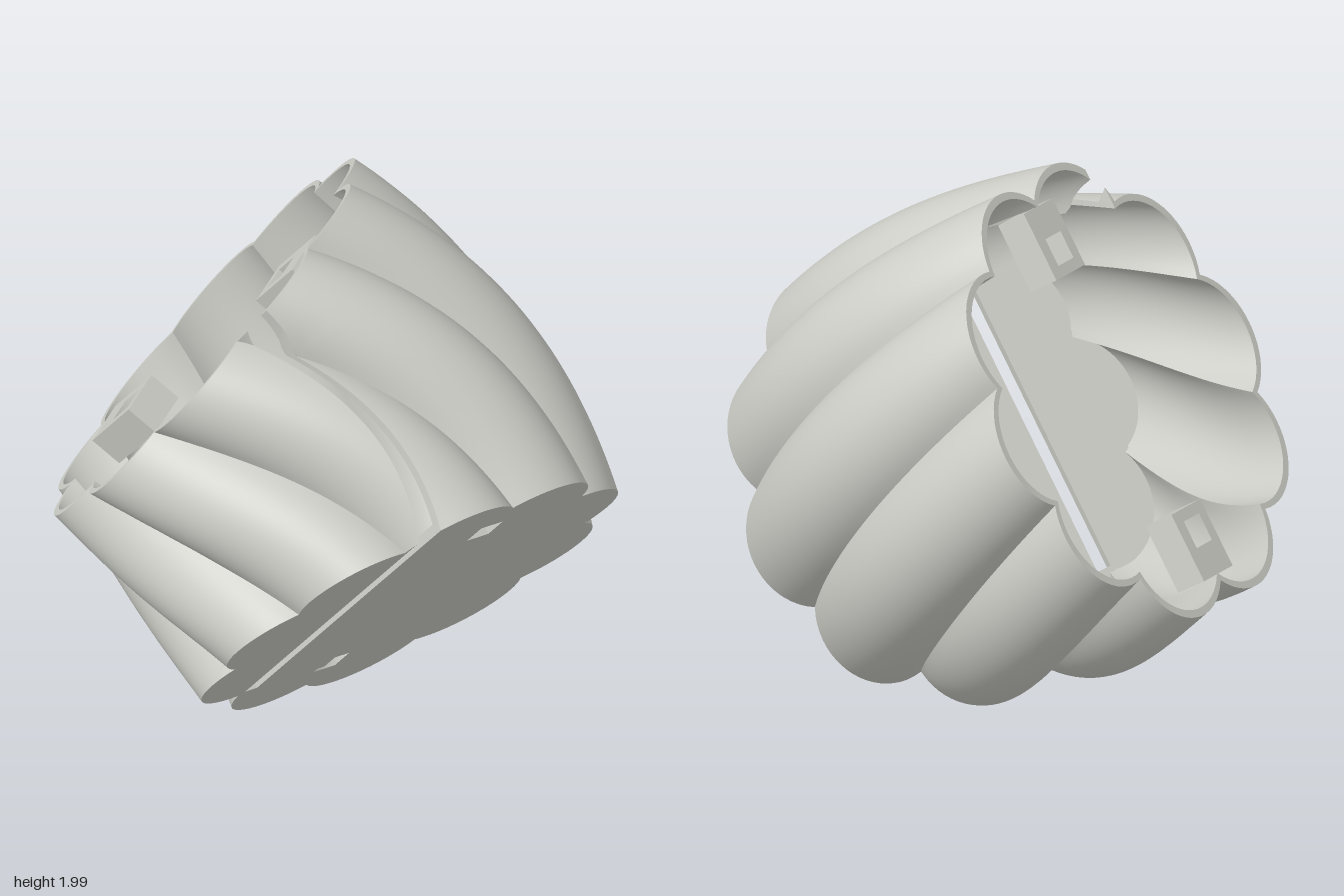
import * as THREE from 'three';
import { toCreasedNormals } from 'three/addons/utils/BufferGeometryUtils.js';

const LOBES = 10, STEP = (Math.PI * 2) / LOBES;
const BEND = 2.15, HALF = Math.PI / 12;        // bend radius and half the swept angle
const WALL = 0.027, PLATE = 0.035;
const SLIT_R = -0.322, SLIT_L = -0.375;        // edges of the lengthwise slit
const SAMPLES = 20, ROWS = 36;                 // samples per lobe, rows along the sweep

const X = new THREE.Vector3(1, 0, 0);
const V = new THREE.Vector3(0, 0.786, 0.618);  // bend axis
const T = new THREE.Vector3(0, 0.618, -0.786); // sweep direction at mid length
const ORIGIN = new THREE.Vector3(-BEND, 1, 0);

// Section radius: a ring of circular lobes meeting in sharp grooves
function radius(phi, twist) {
  const d = phi - twist - Math.round((phi - twist) / STEP) * STEP;
  const c = 0.559, r = 0.241, s = c * Math.sin(d);
  return c * Math.cos(d) + Math.sqrt(r * r - s * s);
}

// Section outline at fraction f of the length, clockwise from the right slit
// edge to the left one; the body swells toward mid length
function section(f, inset) {
  const w = Math.sin(Math.PI * f), twist = STEP * f;
  const su = 0.96 + 0.055 * w, sv = 1.02 + 0.06 * w, shift = 0.005 + 0.02 * w;
  const point = (phi) => {
    const r = radius(phi, twist) - inset;
    return new THREE.Vector2(r * Math.cos(phi) * su + shift, r * Math.sin(phi) * sv);
  };
  // angle at which the upper wall reaches a slit edge
  const angleAt = (u) => {
    let lo = Math.PI / 2, hi = Math.PI * 0.9;
    for (let k = 0; k < 40; k++) {
      const mid = (lo + hi) / 2;
      if (point(mid).x > u) lo = mid; else hi = mid;
    }
    return lo;
  };
  const a = angleAt(SLIT_R), b = angleAt(SLIT_L) - Math.PI * 2;
  // stops at each groove, held inside the slit edges
  const stops = [a];
  for (let k = 0; k <= LOBES; k++) {
    stops.push(THREE.MathUtils.clamp(Math.PI / 2 + twist - k * STEP, b, a));
  }
  stops.push(b);
  const pts = [point(a)];
  for (let k = 1; k < stops.length; k++) {
    for (let s = 1; s <= SAMPLES; s++) {
      pts.push(point(THREE.MathUtils.lerp(stops[k - 1], stops[k], s / SAMPLES)));
    }
  }
  return pts;
}

// Bent sweep: section point and sweep angle to model space
function bent(p, theta) {
  return ORIGIN.clone()
    .addScaledVector(X, (BEND + p.x) * Math.cos(theta))
    .addScaledVector(T, (BEND + p.x) * Math.sin(theta))
    .addScaledVector(V, p.y);
}

function shellGeometry() {
  const pos = [], tris = [];
  for (let i = 0; i <= ROWS; i++) {
    const f = i / ROWS, theta = HALF * (2 * f - 1);
    const loop = [...section(f, 0), ...section(f, WALL).reverse()];
    pos.push(loop.map((p) => bent(p, theta)));
  }
  // skip the empty faces where a groove meets the slit
  const tri = (a, b, c) => {
    const area = b.clone().sub(a).cross(c.clone().sub(a)).length();
    if (area > 1e-8) tris.push(...a.toArray(), ...b.toArray(), ...c.toArray());
  };
  const quad = (a, b, c, d) => { tri(a, b, c); tri(a, c, d); };
  const M = pos[0].length;
  for (let i = 0; i < ROWS; i++) {
    for (let j = 0; j < M; j++) {
      const k = (j + 1) % M;
      quad(pos[i][j], pos[i][k], pos[i + 1][k], pos[i + 1][j]);
    }
  }
  // end rings
  const base = pos[0], rim = pos[ROWS];
  for (let j = 0; j < M / 2 - 1; j++) {
    quad(rim[j], rim[j + 1], rim[M - 2 - j], rim[M - 1 - j]);
    quad(base[j], base[M - 1 - j], base[M - 2 - j], base[j + 1]);
  }
  const geo = new THREE.BufferGeometry();
  geo.setAttribute('position', new THREE.Float32BufferAttribute(tris, 3));
  return toCreasedNormals(geo, 0.6);
}

// Rectangle from corner to corner, as a list of points
function rect(u0, v0, u1, v1) {
  return [[u0, v0], [u1, v0], [u1, v1], [u0, v1]].map(([x, y]) => new THREE.Vector2(x, y));
}

const socketHole = (s) => new THREE.Path(rect(-0.05, s * 0.48, 0.045, s * 0.58));

function extrude(shape, depth) {
  return new THREE.ExtrudeGeometry(shape, { depth, bevelEnabled: false });
}

// Group aligned with an end section; local -z runs toward the rim
function endFrame(theta, name) {
  const g = new THREE.Group();
  g.name = name;
  const u = X.clone().multiplyScalar(Math.cos(theta)).addScaledVector(T, Math.sin(theta));
  const w = X.clone().multiplyScalar(Math.sin(theta)).addScaledVector(T, -Math.cos(theta));
  const m = new THREE.Matrix4().makeBasis(u, V, w).setPosition(bent(new THREE.Vector2(), theta));
  m.decompose(g.position, g.quaternion, g.scale);
  return g;
}

export function createModel() {
  const model = new THREE.Group();
  const grey = new THREE.MeshStandardMaterial({ color: 0xcccdc6 });
  grey.name = 'pale grey';
  const add = (parent, geo, name) => {
    const mesh = new THREE.Mesh(geo, grey);
    mesh.name = name;
    parent.add(mesh);
    return mesh;
  };

  add(model, shellGeometry(), 'twistedShell');

  const base = endFrame(-HALF, 'baseEnd');
  const rim = endFrame(HALF, 'rimEnd');
  model.add(base, rim);

  // base plate with its slot and socket openings
  const outline = section(0, 0.012).filter((p, i, all) => i === 0 || p.distanceTo(all[i - 1]) > 1e-5);
  outline.push(new THREE.Vector2(SLIT_L, -0.55), new THREE.Vector2(SLIT_R, -0.55));
  const plate = new THREE.Shape(outline);
  plate.holes.push(socketHole(1), socketHole(-1));
  add(base, extrude(plate, PLATE), 'basePlate').position.z = -PLATE;

  // connector sockets inside both ends
  for (const s of [1, -1]) {
    const block = new THREE.Shape(rect(-0.09, s * 0.44, 0.09, s * 0.69));
    block.holes.push(socketHole(s));
    add(base, extrude(block, 0.1), 'baseSocket').position.z = -PLATE - 0.1;
    add(rim, extrude(block, 0.12), 'rimSocket');
  }
  return model;
}
